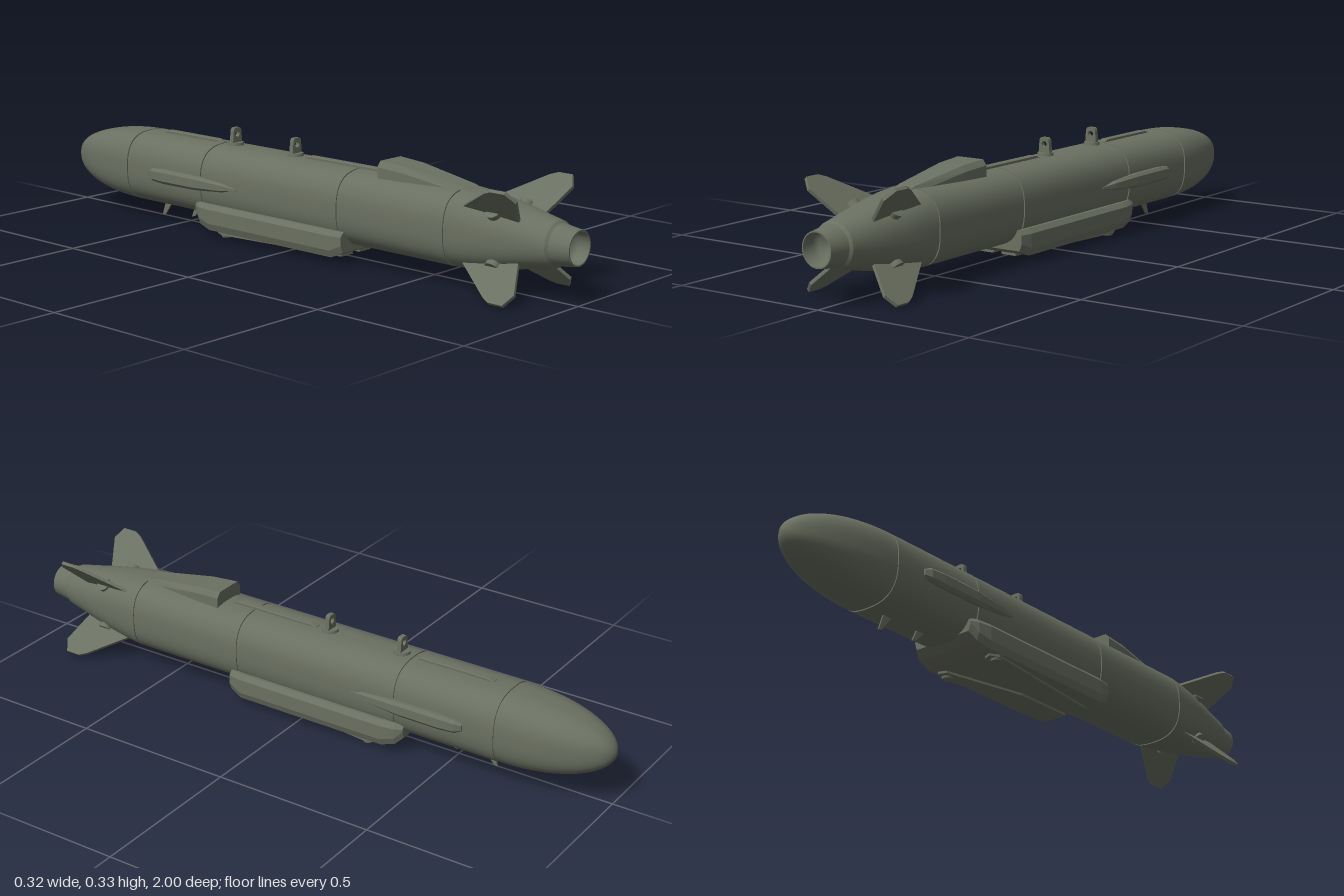
import * as THREE from 'three';

const CY = 0.162; // height of the body axis
const olive = new THREE.MeshStandardMaterial({ color: 0x6a7061 });
olive.name = 'olive grey';

// Skin a list of equal-length rings (counter-clockwise seen from +z, ordered towards +z)
function loft(rings, flat = false, caps = false) {
  const n = rings[0].length, pos = [], idx = [];
  rings.forEach(r => r.forEach(p => pos.push(...p)));
  for (let i = 0; i < rings.length - 1; i++) {
    for (let j = 0; j < n; j++) {
      const a = i * n + j, b = i * n + (j + 1) % n;
      idx.push(a, b, b + n, a, b + n, a + n);
    }
  }
  if (caps) {
    const e = (rings.length - 1) * n;
    for (let j = 1; j < n - 1; j++) idx.push(0, j + 1, j, e, e + j, e + j + 1);
  }
  let g = new THREE.BufferGeometry();
  g.setAttribute('position', new THREE.Float32BufferAttribute(pos, 3));
  g.setIndex(idx);
  if (flat) g = g.toNonIndexed();
  g.computeVertexNormals();
  return g;
}

// Rounded-square ring: half size h, superellipse exponent e
function ring(z, h, e = 2.7, cy = CY) {
  const out = [];
  for (let i = 0; i < 64; i++) {
    const t = i / 64 * Math.PI * 2, c = Math.cos(t), s = Math.sin(t);
    const r = h / Math.pow(Math.pow(Math.abs(c), e) + Math.pow(Math.abs(s), e), 1 / e);
    out.push([r * c, cy + r * s, z]);
  }
  return out;
}

// Symmetric ring from right-half points listed bottom to top
const mirrorRing = (half, z) => [
  ...half.map(([x, y]) => [x, y, z]),
  ...half.slice().reverse().map(([x, y]) => [-x, y, z]),
];

// Thin plate from outline points
function plate(points, thickness) {
  const shape = new THREE.Shape(points.map(p => new THREE.Vector2(...p)));
  const g = new THREE.ExtrudeGeometry(shape, { depth: thickness, bevelEnabled: false });
  return g.translate(0, 0, -thickness / 2);
}

export function createModel() {
  const model = new THREE.Group();
  model.name = 'glideVehicle';
  const add = (name, geometry, x = 0, y = 0, z = 0) => {
    const m = new THREE.Mesh(geometry, olive);
    m.name = name;
    m.position.set(x, y, z);
    model.add(m);
    return m;
  };

  // Rounded nose
  const nose = [];
  for (let i = 0; i <= 20; i++) {
    const a = i / 20 * Math.PI / 2;
    const h = Math.max(0.0005, 0.112 * Math.pow(Math.sin(a), 0.96));
    nose.push(ring(-0.676 - 0.324 * Math.cos(a), h, 2.2 + 0.5 * Math.sin(a)));
  }
  add('nose', loft(nose));

  // Straight body sections separated by shallow seams
  const seams = [-0.676, -0.344, 0.218, 0.615];
  for (let i = 0; i < 3; i++) {
    add('bodySection', loft([ring(seams[i] + 0.006, 0.1125), ring(seams[i + 1], 0.1125)]));
  }
  seams.forEach(z => {
    add('seam', loft([ring(z, 0.1125), ring(z, 0.109), ring(z + 0.006, 0.109), ring(z + 0.006, 0.1125)], true));
  });

  // Tapering tail, blending from rounded square to circle
  add('tailCone', loft([
    ring(0.621, 0.1125), ring(0.67, 0.109, 2.65), ring(0.73, 0.102, 2.5),
    ring(0.8, 0.091, 2.35), ring(0.87, 0.078, 2.15), ring(0.93, 0.067, 2),
  ]));
  add('tailNozzle', loft([ring(0.93, 0.067, 2), ring(0.937, 0.06, 2), ring(1, 0.051, 2)], true));
  add('nozzleLip', loft([ring(1, 0.051, 2), ring(1, 0.047, 2)]));
  add('nozzleRecess', loft([ring(1, 0.047, 2), ring(0.965, 0.045, 2), ring(0.95, 0.035, 2), ring(0.945, 0.0005, 2)]));

  // Four diagonal tail fins with pivot bosses
  for (let k = 0; k < 4; k++) {
    const angle = Math.PI / 4 + k * Math.PI / 2;
    const fin = plate([[0.08, 0.66], [0.118, 0.667], [0.21, 0.79], [0.222, 0.815],
      [0.222, 0.862], [0.184, 0.882], [0.092, 0.845], [0.08, 0.84]], 0.01);
    add('tailFin', fin.rotateX(Math.PI / 2).rotateZ(angle), 0, CY, 0);
    const boss = new THREE.CylinderGeometry(0.022, 0.022, 0.04, 20);
    boss.rotateZ(Math.PI / 2).translate(0.093, 0, 0.765).rotateZ(angle);
    add('finBoss', boss, 0, CY, 0);
  }

  // Dorsal fairing sloping down to the rear
  const dorsal = [[0.33, 0.058, 0.317], [0.42, 0.054, 0.311], [0.62, 0.037, 0.28], [0.69, 0.03, 0.258]];
  add('dorsalFairing', loft(dorsal.map(([z, w, top]) => mirrorRing(
    [[w, 0.235], [w, top - 0.017], [w * 0.78, top]], z)), true, true));

  // Cable covers along the spine
  [[0.0, 0.31], [-0.61, -0.35]].forEach(([a, b]) => {
    const strip = [[a, 0.276], [a + 0.02, 0.283], [b - 0.02, 0.283], [b, 0.276]];
    add('spineCover', loft(strip.map(([z, top]) => mirrorRing(
      [[0.012, 0.265], [0.012, top - 0.002], [0.009, top]], z)), true, true));
  });

  // Suspension lugs: round base and upright eye
  [-0.045, -0.297].forEach(z => {
    add('lugBase', new THREE.CylinderGeometry(0.024, 0.026, 0.014, 24), 0, 0.276, z);
    const eye = new THREE.Shape();
    eye.moveTo(-0.02, 0);
    eye.lineTo(0.02, 0);
    eye.lineTo(0.017, 0.036);
    eye.quadraticCurveTo(0.015, 0.047, 0.008, 0.047);
    eye.lineTo(-0.008, 0.047);
    eye.quadraticCurveTo(-0.015, 0.047, -0.017, 0.036);
    const hole = new THREE.Path();
    hole.absarc(0, 0.027, 0.009, 0, Math.PI * 2, true);
    eye.holes.push(hole);
    const g = new THREE.ExtrudeGeometry(eye, { depth: 0.014, bevelEnabled: false });
    add('lugEye', g.translate(0, 0, -0.007), 0, 0.282, z);
  });

  // Wing housing under the belly
  const housing = [[-0.37, 0.108, 0.058], [-0.345, 0.12, 0.034], [-0.3, 0.127, 0.022],
    [0.205, 0.127, 0.022], [0.245, 0.12, 0.04]];
  add('wingHousing', loft(housing.map(([z, w, low]) => mirrorRing(
    [[w * 0.93, low], [w, low + 0.022], [w, 0.088], [w * 0.9, 0.102]], z)), true, true));

  [1, -1].forEach(s => {
    // Long blister on each flank
    const blister = [[-0.57, 0.012, 0.118], [-0.55, 0.02, 0.128], [-0.5, 0.023, 0.131],
      [-0.36, 0.022, 0.131], [-0.25, 0.014, 0.124], [-0.19, 0.004, 0.114]];
    add('sideBlister', loft(blister.map(([z, h, out]) => {
      const p = [[0.1, CY - h], [out - 0.008, CY - h], [out, CY - h * 0.6],
        [out, CY + h * 0.6], [out - 0.008, CY + h], [0.1, CY + h]];
      return (s > 0 ? p : p.reverse()).map(([x, y]) => [s * x, y, z]);
    }), true, true));

    // Folded wing and its pivot
    const wing = plate([[0.115, -0.25], [0.1, -0.28], [0.075, -0.27], [0.015, 0.0],
      [0.015, 0.2], [0.065, 0.2]].map(([x, z]) => [s * x, z]), 0.007);
    add('foldedWing', wing.rotateX(Math.PI / 2), 0, 0.0165, 0);
    add('wingPivot', new THREE.CylinderGeometry(0.019, 0.015, 0.018, 20), s * 0.096, 0.015, -0.245);
  });

  // Two small raked blades below the nose
  [[-0.44, 0.014], [-0.575, 0]].forEach(([z, low]) => {
    const blade = plate([[z, 0.06], [z - 0.035, 0.06], [z - 0.055, low], [z - 0.042, low + 0.003]], 0.005);
    add('bellyBlade', blade.rotateY(-Math.PI / 2));
  });

  return model;
}
